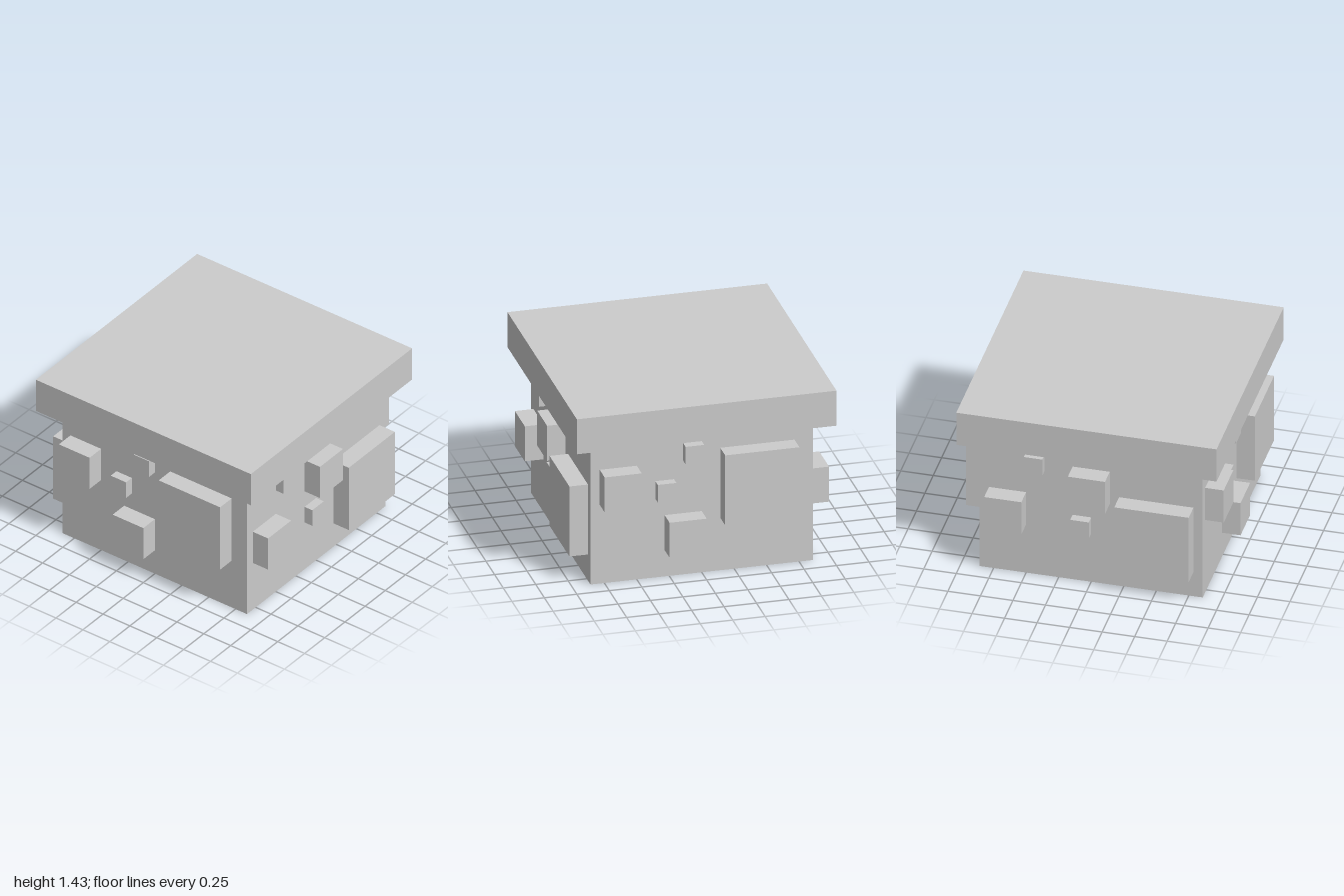
import * as THREE from 'three';

const U = 1 / 14; // the model sits on a grid of 28 units across
const BODY_HALF = 12;

// Bumps on a wall: [left edge, bottom edge, size], in grid units as seen facing the wall
const wallA = [[-7, 13, 2], [-2, 10, 4], [-11, 6, 4], [-2, 6, 2], [3, 3, 8]];
const wallB = [[-11, 9, 4], [-2, 13, 2], [-5, 9, 2], [-4, 3, 4], [2, 6, 8]];

export function createModel() {
  const model = new THREE.Group();
  model.name = 'mushroomBlock';
  const material = new THREE.MeshStandardMaterial({ color: 0xcccccc, flatShading: true });

  const addBox = (parent, name, w, h, d, x, y, z) => {
    const mesh = new THREE.Mesh(new THREE.BoxGeometry(w * U, h * U, d * U), material);
    mesh.position.set(x * U, y * U, z * U);
    mesh.name = name;
    parent.add(mesh);
  };

  // Body and overhanging lid
  addBox(model, 'body', 24, 16, 24, 0, 8, 0);
  addBox(model, 'lid', 28, 4, 28, 0, 18, 0);

  // Four walls of bumps; opposite walls repeat the same layout
  ['front', 'left', 'back', 'right'].forEach((side, i) => {
    const wall = new THREE.Group();
    wall.name = side + 'Bumps';
    wall.rotation.y = i * Math.PI / 2;
    for (const [x, y, size] of i % 2 ? wallB : wallA) {
      const depth = size > 2 ? 2 : 1;
      addBox(wall, side + 'Bump', size, size, depth, x + size / 2, y + size / 2, BODY_HALF + depth / 2);
    }
    model.add(wall);
  });

  return model;
}
